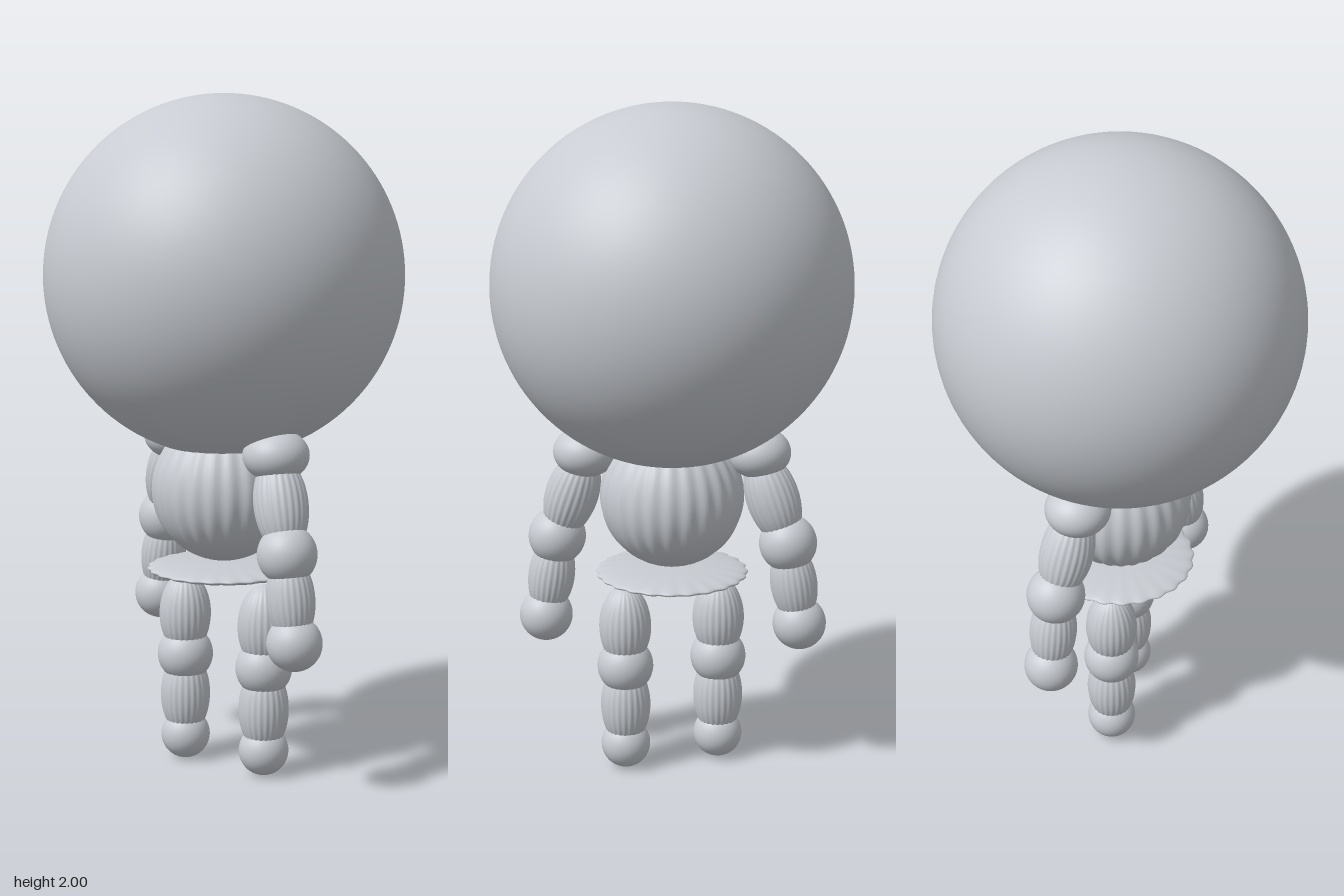
import * as THREE from 'three';
import { mergeVertices } from 'three/addons/utils/BufferGeometryUtils.js';

const RIBS = 24;

// Unit sphere with soft vertical flutes
function ribbedGeometry(depth) {
  const g = new THREE.SphereGeometry(1, RIBS * 6, 40);
  g.deleteAttribute('uv');
  g.deleteAttribute('normal');
  const p = g.attributes.position;
  for (let i = 0; i < p.count; i++) {
    const x = p.getX(i), z = p.getZ(i);
    const k = 1 - depth * (0.5 - 0.5 * Math.cos(RIBS * Math.atan2(z, x)));
    p.setX(i, x * k);
    p.setZ(i, z * k);
  }
  const merged = mergeVertices(g, 1e-4);
  merged.computeVertexNormals();
  return merged;
}

export function createModel() {
  const model = new THREE.Group();
  model.name = 'figure';
  const grey = new THREE.MeshStandardMaterial({ color: 0xc8ccd2 });
  grey.name = 'light grey';

  const smooth = new THREE.SphereGeometry(1, 40, 28);
  const ribbed = ribbedGeometry(0.03);

  function add(parent, name, geometry, pos, scale) {
    const m = new THREE.Mesh(geometry, grey);
    m.name = name;
    m.position.set(...pos);
    m.scale.set(...scale);
    parent.add(m);
    return m;
  }
  const ball = (parent, name, pos, r, ry = r) => add(parent, name, smooth, pos, [r, ry, r]);

  // Fluted barrel whose long axis runs along the direction from a to b
  function barrel(parent, name, pos, r, half, a, b) {
    const m = add(parent, name, ribbed, pos, [r, half, r]);
    const dir = new THREE.Vector3(...b).sub(new THREE.Vector3(...a)).normalize();
    m.quaternion.setFromUnitVectors(new THREE.Vector3(0, 1, 0), dir);
  }

  // Head, torso and hip disc
  add(model, 'head', new THREE.SphereGeometry(1, 96, 64), [0, 1.475, 0], [0.525, 0.525, 0.525]);
  add(model, 'torso', ribbed, [0, 0.848, 0], [0.214, 0.214, 0.214]);
  add(model, 'hipDisc', ribbed, [0, 0.61, 0], [0.228, 0.024, 0.228]);

  // One arm and one leg per side; the other side is turned half way round
  for (const side of ['left', 'right']) {
    const limbs = new THREE.Group();
    limbs.name = side + 'Limbs';
    limbs.rotation.y = side === 'left' ? 0 : Math.PI;

    const shoulder = [0.255, 0.98, 0];
    const elbow = [0.345, 0.71, 0.027];
    const hand = [0.382, 0.46, 0.028];
    ball(limbs, 'shoulder', shoulder, 0.096, 0.076);
    barrel(limbs, 'upperArm', [0.298, 0.845, 0.014], 0.079, 0.14, elbow, shoulder);
    ball(limbs, 'elbow', elbow, 0.086);
    barrel(limbs, 'forearm', [0.364, 0.585, 0.028], 0.07, 0.125, hand, elbow);
    ball(limbs, 'hand', hand, 0.08);

    const x = 0.139, z = -0.045;
    const down = [x, 0, z], up = [x, 1, z];
    barrel(limbs, 'thigh', [x, 0.45, z], 0.078, 0.125, down, up);
    ball(limbs, 'knee', [x, 0.325, z], 0.084);
    barrel(limbs, 'shin', [x, 0.2, z], 0.075, 0.13, down, up);
    ball(limbs, 'foot', [x, 0.074, z], 0.074);
    model.add(limbs);
  }
  return model;
}
